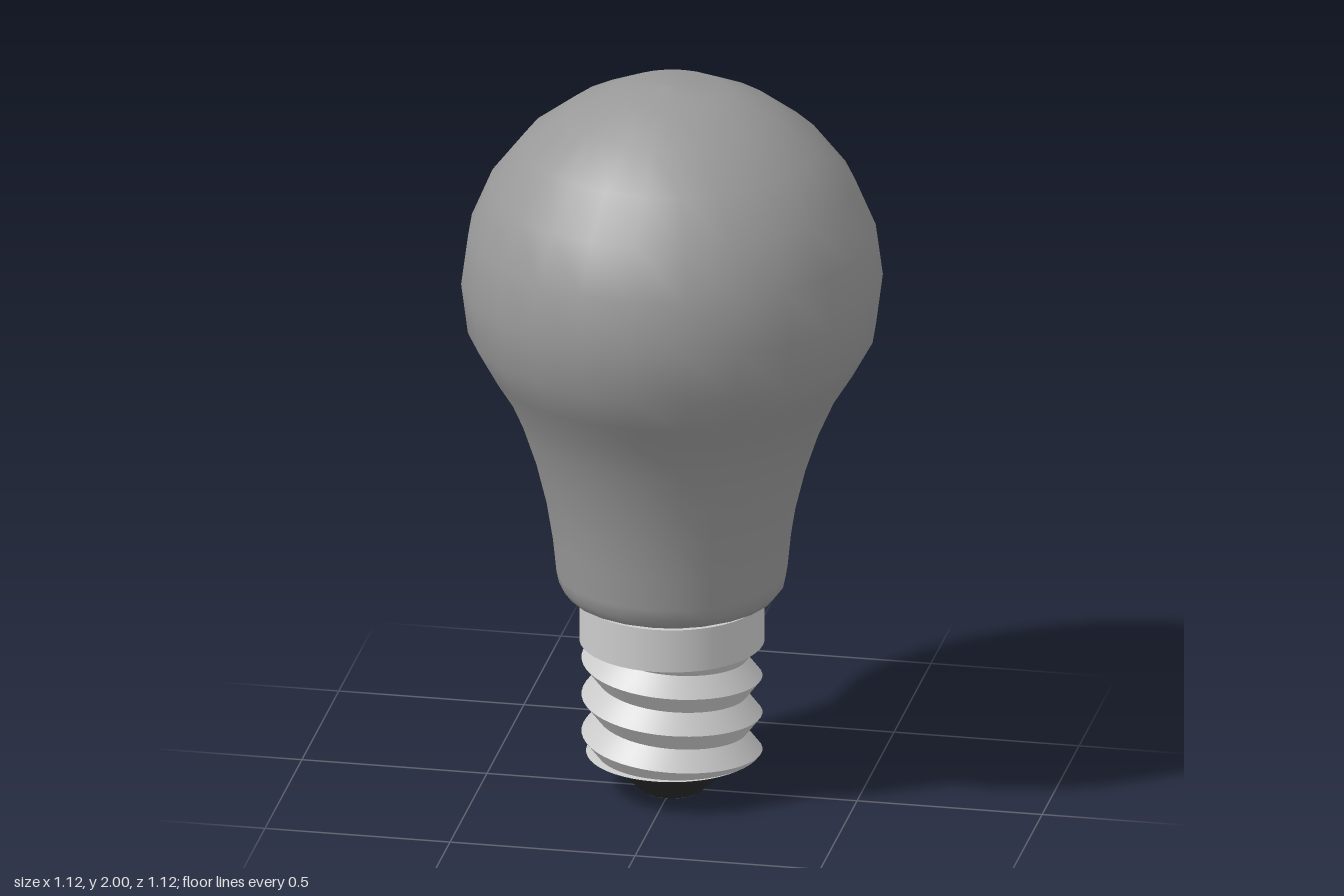
import * as THREE from 'three';

const material = (color) => new THREE.MeshStandardMaterial({ color });

function addMesh(group, name, geometry, mat) {
  const mesh = new THREE.Mesh(geometry, mat);
  mesh.name = name;
  group.add(mesh);
}

// Lathe from [radius, height] pairs, listed from bottom to top
const lathe = (points, sides) =>
  new THREE.LatheGeometry(points.map(([r, y]) => new THREE.Vector2(r, y)), sides);

// V-shaped helical thread, clipped flat at its two ends
function threadGeometry({ inner, outer, pitch, peak, bottom, top, sides }) {
  const positions = [], indices = [];
  const turns = Math.ceil((top - bottom) / pitch) + 2;
  const steps = turns * sides;
  // Each facet goes from [offset, radius] to [offset, radius]
  const facets = [
    [[-pitch / 2, inner], [0, outer]],
    [[0, outer], [pitch / 2, inner]],
  ];
  for (const [[y0, r0], [y1, r1]] of facets) {
    const base = positions.length / 3;
    for (let i = 0; i <= steps; i++) {
      const angle = (i / sides) * Math.PI * 2;
      const centre = peak + pitch * (i / sides - 1);
      for (const offset of [y0, y1]) {
        const y = THREE.MathUtils.clamp(centre + offset, bottom, top);
        const t = THREE.MathUtils.clamp((y - centre - y0) / (y1 - y0), 0, 1);
        const r = r0 + (r1 - r0) * t;
        positions.push(r * Math.cos(angle), y, r * Math.sin(angle));
      }
      if (i < steps) {
        const a = base + i * 2;
        indices.push(a, a + 1, a + 2, a + 1, a + 3, a + 2);
      }
    }
  }
  const geometry = new THREE.BufferGeometry();
  geometry.setAttribute('position', new THREE.Float32BufferAttribute(positions, 3));
  geometry.setIndex(indices);
  geometry.computeVertexNormals();
  return geometry;
}

export function createModel() {
  const group = new THREE.Group();
  group.name = 'lightBulb';
  const glass = material(0x999999);
  const metal = material(0xcccccc);
  metal.side = THREE.DoubleSide;
  const black = material(0x2a2a2a);
  const contact = material(0x777c82);

  // Glass: rounded foot, flared neck, then a ball in 15 degree steps
  const profile = [
    [0.2, 0.545], [0.245, 0.55], [0.28, 0.565], [0.3, 0.592], [0.307, 0.625],
    [0.316, 0.715], [0.333, 0.82], [0.36, 0.93], [0.395, 1.035], [0.437, 1.13],
    [0.487, 1.21], [0.542, 1.31],
  ];
  for (let i = 0; i <= 6; i++) {
    const a = (i * Math.PI) / 12;
    profile.push([i === 6 ? 0 : 0.56 * Math.cos(a), 1.45 + 0.55 * Math.sin(a)]);
  }
  profile[profile.length - 2][1] = 1.99;
  addMesh(group, 'glassBulb', lathe(profile, 24), glass);

  // Collar between the glass and the screw
  const collar = new THREE.CylinderGeometry(0.246, 0.246, 0.12, 48);
  collar.translate(0, 0.485, 0);
  addMesh(group, 'collar', collar, metal);

  // Screw base
  addMesh(group, 'screwThread', threadGeometry({
    inner: 0.2, outer: 0.24, pitch: 0.105, peak: 0.113, bottom: 0.104, top: 0.43, sides: 48,
  }), metal);
  addMesh(group, 'screwBottom', lathe([[0.15, 0.082], [0.228, 0.105]], 48), metal);
  addMesh(group, 'screwBottomRim', lathe([[0.228, 0.105], [0.19, 0.108]], 48), metal);

  // Insulator cone and the contact under it
  addMesh(group, 'insulator', lathe([[0.083, 0.001], [0.12, 0.036], [0.163, 0.083]], 48), black);
  const tip = new THREE.CylinderGeometry(0.084, 0.082, 0.004, 48);
  tip.translate(0, 0.002, 0);
  addMesh(group, 'contact', tip, contact);

  return group;
}
